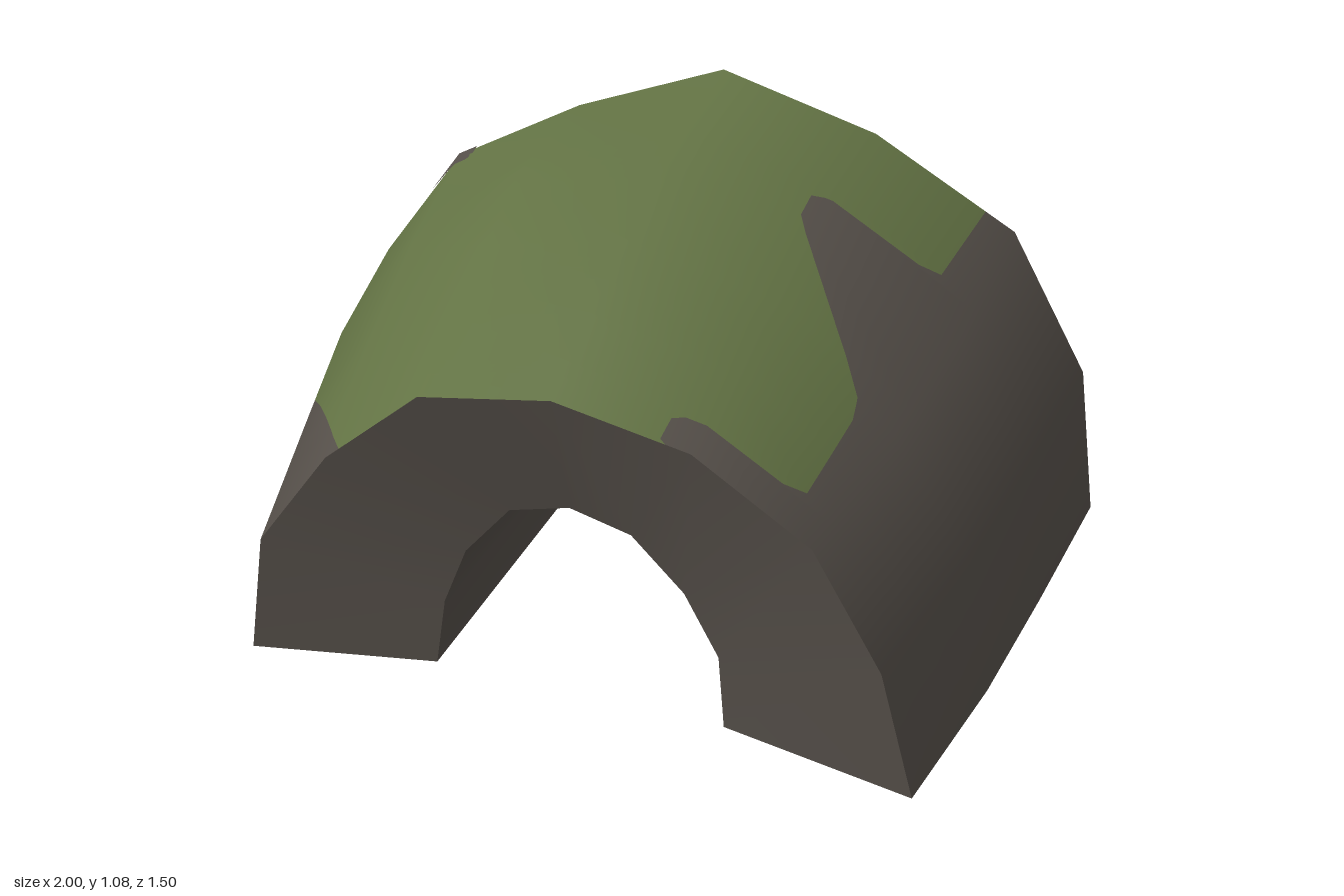
import * as THREE from 'three';
import { mergeVertices } from 'three/addons/utils/BufferGeometryUtils.js';

const rock = new THREE.MeshStandardMaterial({ name: 'rock', color: 0x56504a, side: THREE.DoubleSide });
const moss = new THREE.MeshStandardMaterial({ name: 'moss', color: 0x637344, side: THREE.DoubleSide });

const FRONT = 0.75, BACK = -0.4, MOUTH = 0.665, TUNNEL_END = -0.47;

// Arch outlines of the shell from front to back, each from the -x foot over the top to the +x foot
const arches = [
  { z: FRONT, outline: [[-0.77, 0], [-0.715, 0.33], [-0.53, 0.6], [-0.3, 0.81], [0, 0.865], [0.3, 0.8], [0.56, 0.62], [0.72, 0.33], [0.805, 0]] },
  { z: 0.36, outline: [[-0.835, 0], [-0.79, 0.37], [-0.59, 0.665], [-0.33, 0.885], [0, 0.96], [0.335, 0.87], [0.64, 0.65], [0.82, 0.36], [0.89, 0]] },
  { z: 0, outline: [[-0.895, 0], [-0.865, 0.39], [-0.64, 0.72], [-0.36, 0.945], [0, 1.025], [0.36, 0.94], [0.7, 0.705], [0.885, 0.385], [0.945, 0]] },
  { z: BACK, outline: [[-1, 0], [-0.915, 0.4], [-0.69, 0.725], [-0.36, 0.92], [0.01, 1.075], [0.39, 0.965], [0.74, 0.76], [0.94, 0.4], [1, 0]] },
];
const innerFront = [[-0.34, 0], [-0.31, 0.19], [-0.25, 0.35], [-0.14, 0.49], [0, 0.53], [0.14, 0.49], [0.26, 0.36], [0.34, 0.2], [0.355, 0]];
const innerBack = [[-0.235, 0], [-0.22, 0.13], [-0.17, 0.25], [-0.1, 0.33], [0, 0.36], [0.11, 0.33], [0.18, 0.26], [0.23, 0.14], [0.25, 0]];

// Linear interpolation through [key, value] knots; keys run downwards
function along(knots, z) {
  for (let i = 0; i < knots.length - 1; i++) {
    const [z0, a] = knots[i], [z1, b] = knots[i + 1];
    if (z >= z1) return a + (b - a) * (z0 - z) / (z0 - z1);
  }
  return knots[knots.length - 1][1];
}

function shellPoint(u, z) {
  const k = THREE.MathUtils.clamp(Math.floor(u), 0, 7);
  const corner = (j) => new THREE.Vector3(
    along(arches.map((a) => [a.z, a.outline[j][0]]), z),
    along(arches.map((a) => [a.z, a.outline[j][1]]), z), z);
  return corner(k).lerp(corner(k + 1), u - k);
}

// Softened normal across neighbouring facets
function shellNormal(u, z) {
  const du = shellPoint(Math.min(u + 0.5, 8), z).sub(shellPoint(Math.max(u - 0.5, 0), z));
  const dz = shellPoint(u, Math.max(z - 0.2, BACK)).sub(shellPoint(u, Math.min(z + 0.2, FRONT)));
  return du.cross(dz).normalize();
}

// Skin over rows of equal length; without given normals the corners are shared and smoothed
function skin(rows, normals) {
  const n = rows[0].length, index = [];
  for (let i = 0; i < rows.length - 1; i++) {
    for (let k = 0; k < n - 1; k++) {
      const a = i * n + k, c = a + n;
      index.push(a, a + 1, c, a + 1, c + 1, c);
    }
  }
  const flat = (list) => new THREE.Float32BufferAttribute(list.flat().flatMap((p) => p.toArray()), 3);
  const geometry = new THREE.BufferGeometry();
  geometry.setAttribute('position', flat(rows));
  geometry.setIndex(index);
  if (normals) {
    geometry.setAttribute('normal', flat(normals));
    return geometry;
  }
  const merged = mergeVertices(geometry);
  merged.computeVertexNormals();
  return merged;
}

// Band of the shell between two edges, keeping every crease of the arch
function shellBand(zs, low, high, lift = 0) {
  const rows = [], normals = [];
  for (const z of zs) {
    const lo = along(low, z), hi = along(high, z), us = [lo];
    for (let k = 1; k < 8; k++) us.push(THREE.MathUtils.clamp(k, lo, hi));
    us.push(hi);
    const ns = us.map((u) => shellNormal(u, z));
    rows.push(us.map((u, i) => shellPoint(u, z).addScaledVector(ns[i], lift)));
    normals.push(ns);
  }
  return skin(rows, normals);
}

const ring = (outline, z) => outline.map(([x, y]) => new THREE.Vector3(x, y, z));
const tip = (x, y, z) => Array.from({ length: 9 }, () => new THREE.Vector3(x, y, z));

export function createModel() {
  const group = new THREE.Group();
  group.name = 'rockTunnel';
  const add = (name, geometry, material) => {
    const mesh = new THREE.Mesh(geometry, material);
    mesh.name = name;
    group.add(mesh);
  };

  // Edges of the moss on each flank: [z, position along the arch]
  const mossMinusX = [[FRONT, 2.15], [0.5, 1.55], [0.27, 1], [0.02, 0.25], [-0.03, 0.2], [BACK, 0.2]];
  const mossPlusX = [[FRONT, 4.82], [0.74, 4.77], [0.68, 4.77], [0.665, 4.85], [0.66, 5.6], [0.64, 5.76], [0.4, 5.73],
    [0.34, 5.68], [0.05, 4.96], [0, 4.88], [-0.08, 4.87], [-0.09, 4.95], [-0.1, 5.6], [-0.12, 5.74], [BACK, 5.79]];
  const zs = [...new Set([...mossMinusX.map((k) => k[0]), ...mossPlusX.map((k) => k[0]), ...arches.map((a) => a.z)])]
    .sort((a, b) => b - a);
  const foot = (u) => [[FRONT, u], [BACK, u]];

  // Outer shell
  add('rightFlank', shellBand(zs, foot(0), mossMinusX), rock);
  add('mossCover', shellBand(zs, mossMinusX, mossPlusX), moss);
  add('leftFlank', shellBand(zs, mossPlusX, foot(8)), rock);

  // Small bare spot at the back rim
  add('bareSpot', shellBand([-0.34, -0.35, -0.37, BACK],
    [[-0.34, 2.02], [-0.35, 1.92], [-0.37, 1.8], [BACK, 1.64]],
    [[-0.34, 2.1], [-0.35, 2.15], [BACK, 2.15]], 0.004), rock);

  // Pointed back, dished front face and tunnel
  add('backCone', skin([ring(arches[3].outline, BACK), tip(0.015, 0.47, -0.75)]), rock);
  add('frontFace', skin([ring(innerFront, MOUTH), ring(arches[0].outline, FRONT)]), rock);
  add('tunnelWall', skin([ring(innerBack, TUNNEL_END), ring(innerFront, MOUTH)]), rock);
  add('tunnelEnd', skin([tip(0.005, 0.2, -0.565), ring(innerBack, TUNNEL_END)]), rock);

  return group;
}
